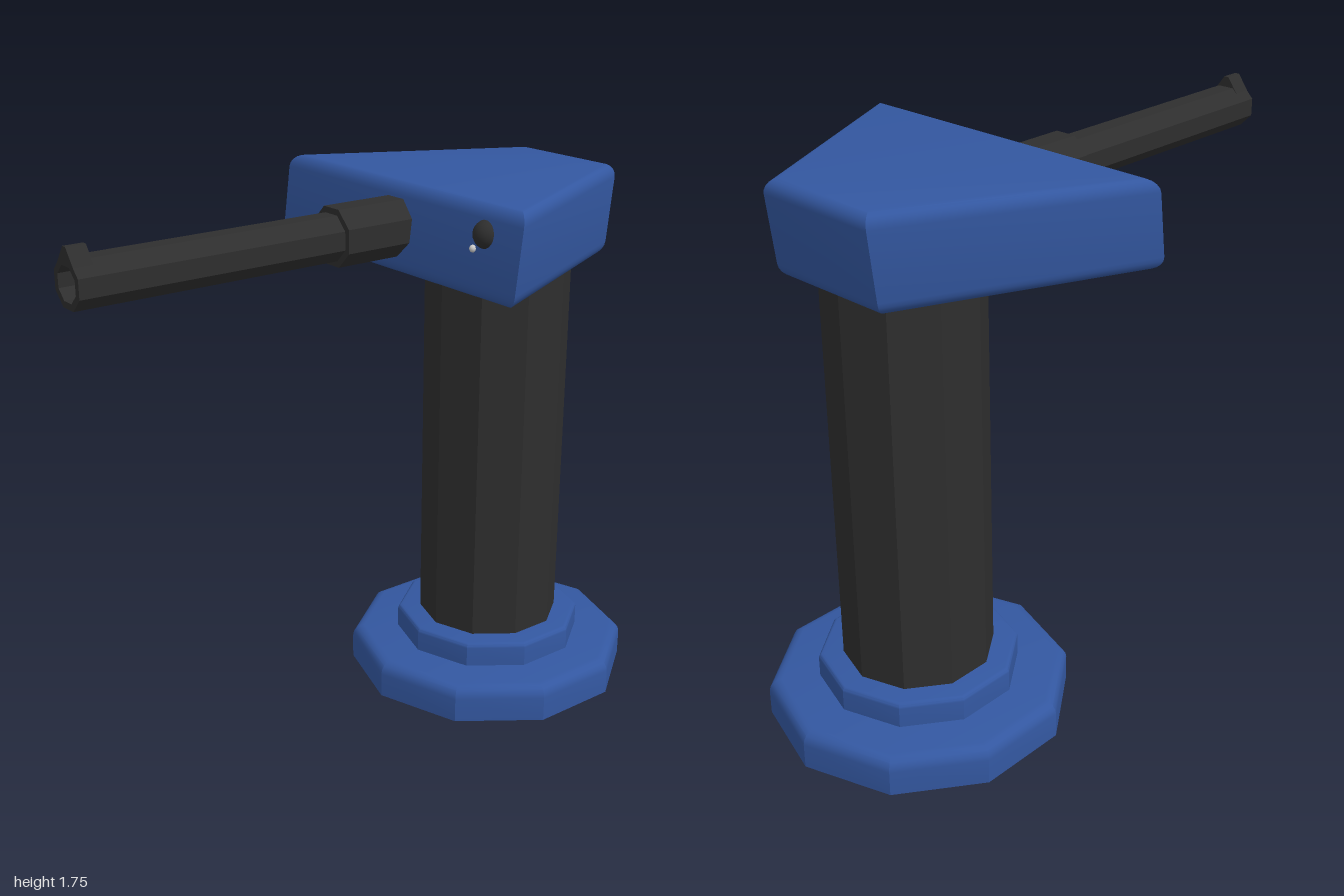
import * as THREE from 'three';
import { toCreasedNormals } from 'three/addons/utils/BufferGeometryUtils.js';

const blue = new THREE.MeshStandardMaterial({ color: 0x3357a0 });
const dark = new THREE.MeshStandardMaterial({ color: 0x2e2e2e });
const light = new THREE.MeshStandardMaterial({ color: 0xcccccc });

const AXIS_Z = -0.525; // centre of the column
const SPOUT_Y = 1.622; // centre line of the spout

// Quarter-round corner of radius b, ending at the top edge of a profile
function roundedTop(r, y, b) {
  const pts = [];
  for (let i = 0; i <= 4; i++) {
    const a = (i / 4) * Math.PI / 2;
    pts.push([r - b + b * Math.cos(a), y - b + b * Math.sin(a)]);
  }
  return pts;
}

// Faceted turned solid with crisp facets and soft bevels
function turned(profile, sides, phase = 0) {
  const pts = profile.map(([r, y]) => new THREE.Vector2(r, y));
  return toCreasedNormals(new THREE.LatheGeometry(pts, sides, phase, Math.PI * 2), 0.5);
}

// Hollow octagonal pipe along z, given across-flats radii
function pipe(outer, inner, z0, z1) {
  const k = 1 / Math.cos(Math.PI / 8);
  const o = outer * k, i = inner * k;
  return turned([[i, z0], [o, z0], [o, z1], [i, z1], [i, z0]], 8, Math.PI / 8).rotateX(Math.PI / 2);
}

// Wedge-shaped head: rounded above and below, leaning back, underside dipping to the rear
function headGeometry() {
  const h = 0.27, b = 0.04, y0 = 1.485;
  const shape = new THREE.Shape();
  shape.moveTo(-0.56, 0.07);
  shape.lineTo(0.56, 0.07);
  shape.lineTo(0.205, 0.795);
  shape.lineTo(-0.205, 0.795);
  shape.closePath();
  const geo = new THREE.ExtrudeGeometry(shape, {
    depth: h - 2 * b, bevelEnabled: true, bevelThickness: b, bevelSize: b, bevelOffset: -b, bevelSegments: 5,
  });
  geo.translate(0, 0, b).rotateX(-Math.PI / 2);
  const p = geo.attributes.position;
  for (let i = 0; i < p.count; i++) {
    const t = p.getY(i) / h, z = p.getZ(i);
    p.setY(i, y0 + p.getY(i) + (1 - t) * 0.028 * (z + 0.07));
    p.setZ(i, z - 0.035 * t);
  }
  return toCreasedNormals(geo, 0.5);
}

export function createModel() {
  const model = new THREE.Group();
  const add = (name, geo, mat, x = 0, y = 0, z = 0) => {
    const mesh = new THREE.Mesh(geo, mat);
    mesh.name = name;
    mesh.position.set(x, y, z);
    model.add(mesh);
    return mesh;
  };

  // Stepped ten-sided base and column
  add('base', turned([[0, 0], [0.475, 0], ...roundedTop(0.475, 0.122, 0.04), [0, 0.122]], 10), blue, 0, 0, AXIS_Z);
  add('baseCollar', turned([[0, 0.11], [0.315, 0.11], ...roundedTop(0.315, 0.203, 0.015), [0, 0.203]], 10), blue, 0, 0, AXIS_Z);
  add('column', turned([[0, 0.19], [0.237, 0.19], [0.237, 1.52], [0, 1.52]], 10), dark, 0, 0, AXIS_Z);

  // Head
  add('head', headGeometry(), blue);

  // Spout: collar, long pipe and small raised ridge at the tip
  add('spoutCollar', pipe(0.086, 0.05, -0.14, 0.142), dark, 0, SPOUT_Y, 0);
  add('spout', pipe(0.068, 0.049, -0.1, 1), dark, 0, SPOUT_Y, 0);
  const ridge = new THREE.Shape();
  ridge.moveTo(-0.045, 0.052);
  ridge.lineTo(0.045, 0.052);
  ridge.lineTo(0.008, 0.102);
  ridge.lineTo(-0.008, 0.102);
  ridge.closePath();
  add('tipRidge', new THREE.ExtrudeGeometry(ridge, { depth: 0.06, bevelEnabled: false }), dark, 0, SPOUT_Y, 0.94);

  // Round button and tiny pin on the front face
  add('button', new THREE.SphereGeometry(0.043, 16, 12), dark, 0.405, 1.67, -0.107);
  add('pin', new THREE.SphereGeometry(0.011, 10, 8), light, 0.368, 1.625, -0.086);

  return model;
}
